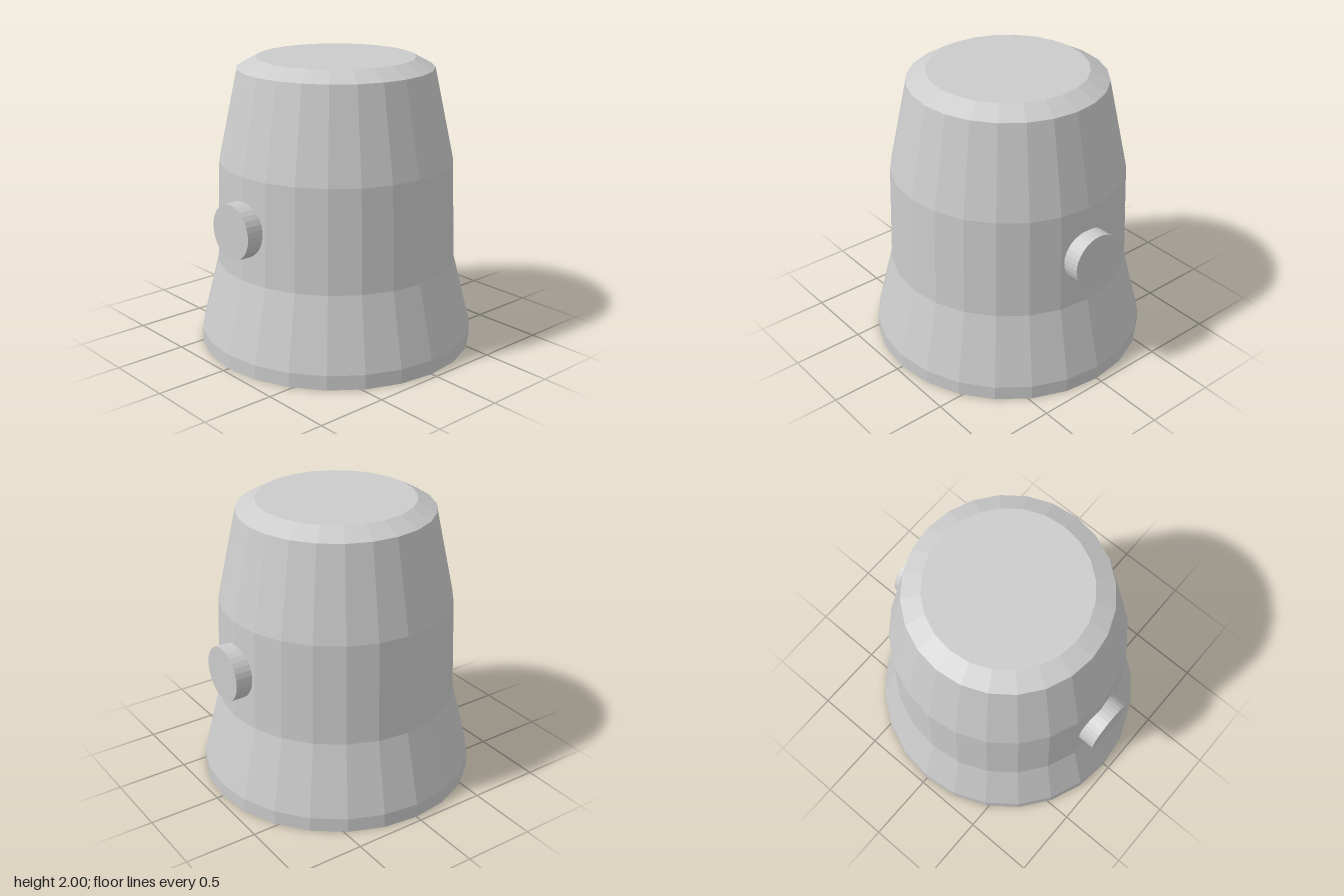
import * as THREE from 'three';

export function createModel() {
  const group = new THREE.Group();
  const material = new THREE.MeshStandardMaterial({ color: 0xcccccc, flatShading: true });

  // Flared body: recessed underside with a raised disc, tapering wall, bevelled top
  const profile = [
    [0, 0.005], [0.7, 0.005], [0.7, 0.02], [0.935, 0.02], [0.935, 0],
    [0.955, 0], [0.955, 0.1], [0.83, 0.6], [0.805, 1.3],
    [0.67, 1.93], [0.54, 2], [0, 2],
  ].map(([r, y]) => new THREE.Vector2(r, y));
  const body = new THREE.Mesh(new THREE.LatheGeometry(profile, 24), material);
  body.name = 'body';
  group.add(body);

  // Round side pins, sunk into the wall
  const pinGeometry = new THREE.CylinderGeometry(0.188, 0.188, 0.16, 32).rotateZ(Math.PI / 2);
  for (const side of [1, -1]) {
    const pin = new THREE.Mesh(pinGeometry, material);
    pin.name = side > 0 ? 'leftPin' : 'rightPin';
    pin.position.set(side * 0.83, 0.95, 0);
    group.add(pin);
  }
  return group;
}
